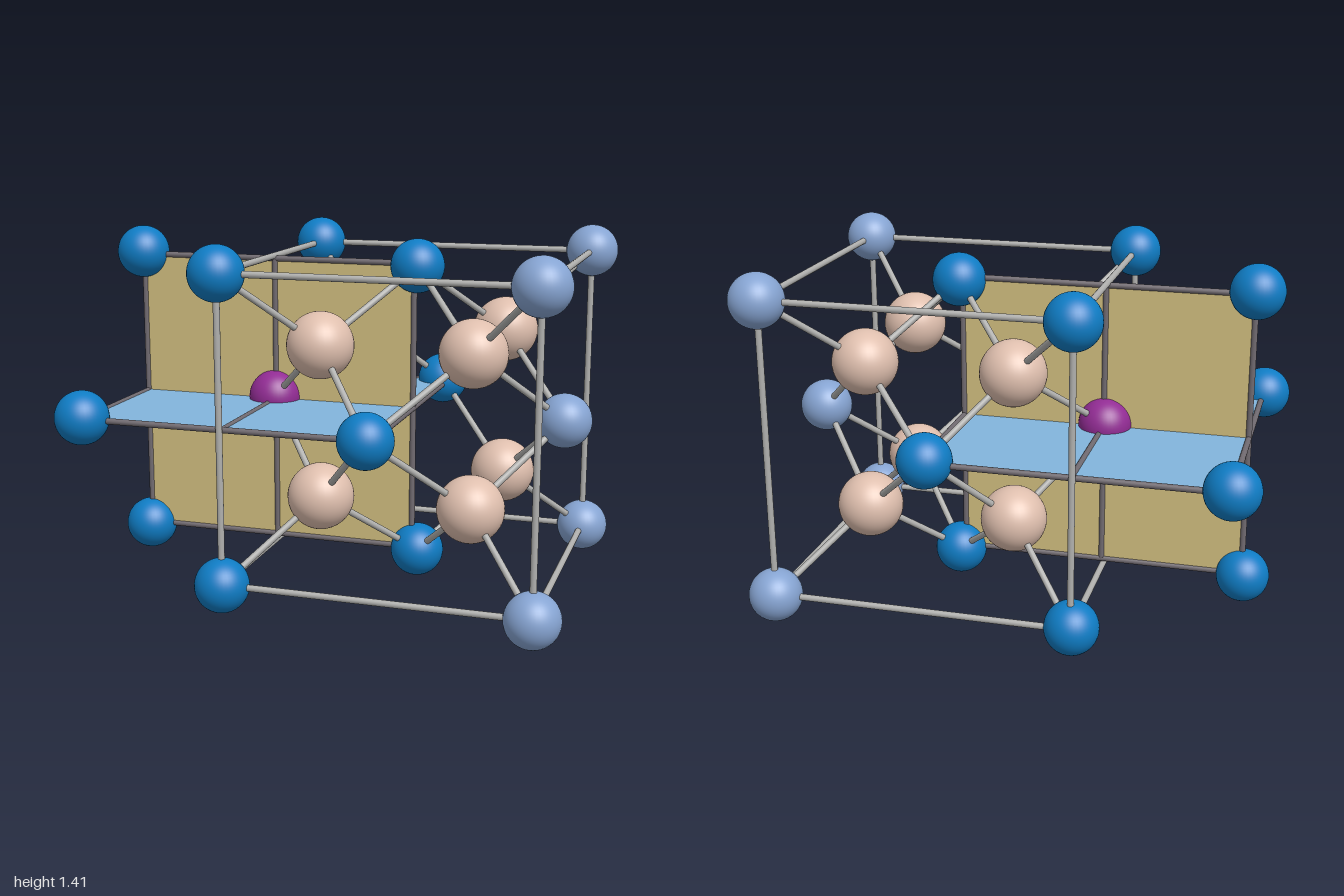
import * as THREE from 'three';

const mat = (color, extra = {}) => new THREE.MeshStandardMaterial({ color, ...extra });
const V = (x, y, z) => new THREE.Vector3(x, y, z);

export function createModel() {
  const root = new THREE.Group();
  const blue = mat(0x0f7cc4), paleBlue = mat(0x86a4d2), peach = mat(0xdfbfae), purple = mat(0x922c94);
  const silver = mat(0xb0b0ae), dark = mat(0x706a70);

  const group = (name) => {
    const g = new THREE.Group();
    g.name = name;
    root.add(g);
    return g;
  };
  const atoms = group('atoms'), bonds = group('bonds'), cell = group('cellEdges'), planes = group('planes');

  const ballGeo = new THREE.SphereGeometry(1, 40, 28);
  const ball = (name, p, r, material) => {
    const m = new THREE.Mesh(ballGeo, material);
    m.name = name;
    m.position.copy(p);
    m.scale.setScalar(r);
    atoms.add(m);
  };
  const rodGeo = new THREE.CylinderGeometry(1, 1, 1, 16);
  const rod = (parent, name, a, b, r, material) => {
    const m = new THREE.Mesh(rodGeo, material);
    const d = b.clone().sub(a);
    m.name = name;
    m.position.copy(a).addScaledVector(d, 0.5);
    m.scale.set(r, d.length(), r);
    m.quaternion.setFromUnitVectors(V(0, 1, 0), d.normalize());
    parent.add(m);
  };

  // Cubic cell: corner atoms and the twelve edges
  const R = 0.107, signs = [-1, 1], cx = 0.29, cy = 0.71, h = 0.6;
  const corner = (i, j, k) => V(cx + i * h, cy + j * h, k * h);
  for (const i of signs) for (const j of signs) {
    for (const k of signs) {
      const p = corner(i, j, k);
      if (i < 0 && j < 0 && k < 0) p.z += 0.02;
      ball('cornerAtom', p, R, i < 0 ? blue : paleBlue);
    }
    rod(cell, 'cellEdge', corner(-1, i, j), corner(1, i, j), 0.013, silver);
    rod(cell, 'cellEdge', corner(i, -1, j), corner(i, 1, j), 0.013, silver);
    rod(cell, 'cellEdge', corner(i, j, -1), corner(i, j, 1), 0.013, silver);
  }

  // Atoms at the centres of the six faces
  const face = {
    x: { '-1': V(-0.31, 0.73, 0), 1: V(0.89, 0.71, 0) },
    y: { '-1': V(0.3, 0.125, -0.01), 1: V(0.29, 1.29, -0.01) },
    z: { '-1': V(0.26, 0.73, -0.58), 1: V(0.26, 0.72, 0.59) },
  };
  for (const axis of ['x', 'y', 'z']) for (const s of signs) {
    const material = axis !== 'x' ? blue : s < 0 ? purple : paleBlue;
    ball('faceAtom', face[axis][s], R, material);
  }

  // Inner atoms, each bonded to one corner and three face centres
  for (const i of signs) for (const j of signs) for (const k of signs) {
    const p = V(cx + i * 0.3, cy + j * 0.3, k * 0.3);
    ball('innerAtom', p, 0.131, peach);
    for (const q of [corner(i, j, k), face.x[i], face.y[j], face.z[k]]) rod(bonds, 'bond', p, q, 0.013, silver);
  }

  // Outer atoms at the far side of the two planes
  for (const p of [V(-0.89, 1.31, 0), V(-0.89, 0.13, 0), V(-0.89, 0.725, -0.58), V(-0.89, 0.725, 0.585)]) {
    ball('outerAtom', p, R, blue);
  }

  // Two crossing planes with dark frames and a centre bar
  const x0 = -0.885, x1 = 0.28, xm = -0.305, py = 0.718, half = 0.582;
  const plane = (name, color, at) => {
    const g = new THREE.Group();
    g.name = name;
    planes.add(g);
    const size = at(half).sub(at(-half));
    const sheet = new THREE.Mesh(
      new THREE.BoxGeometry(x1 - x0, size.y || 0.008, size.z || 0.008), mat(color));
    sheet.name = name + 'Sheet';
    sheet.position.copy(at(0)).setX((x0 + x1) / 2);
    g.add(sheet);
    for (const x of [x0, xm, x1]) rod(g, 'planeBar', at(-half).setX(x), at(half).setX(x), 0.012, dark);
    for (const s of signs) rod(g, 'planeBar', at(s * half).setX(x0), at(s * half).setX(x1), 0.012, dark);
  };
  plane('verticalPlane', 0xd2bf80, (t) => V(0, py + t, 0));
  plane('horizontalPlane', 0x82b5dc, (t) => V(0, py, t));

  return root;
}
